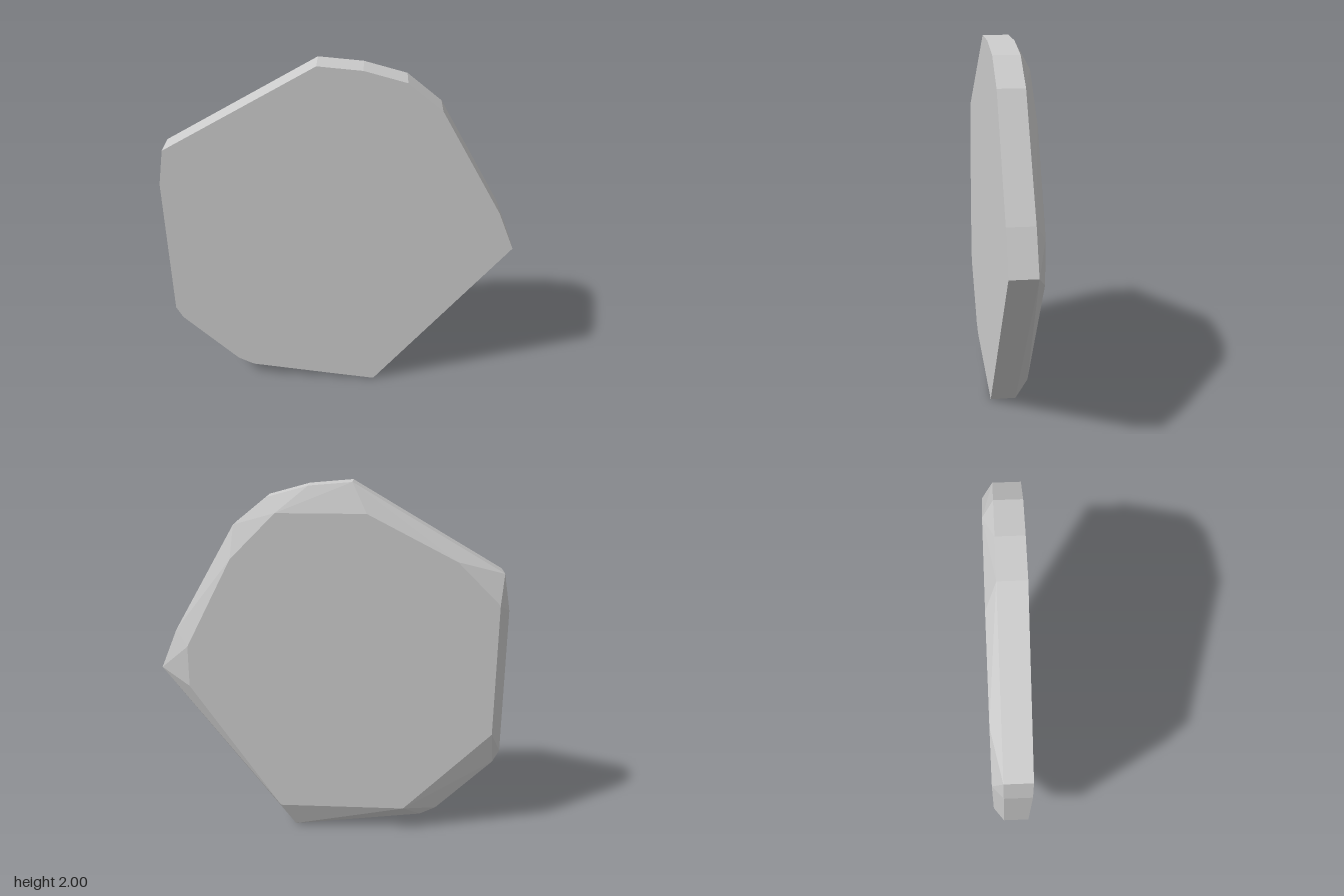
import * as THREE from 'three';
import { ConvexGeometry } from 'three/addons/geometries/ConvexGeometry.js';

// Outer rim of the slab, clockwise from the top
const RIM = [
  [-0.11, 2], [0.12, 1.98], [0.34, 1.92], [0.52, 1.775], [0.86, 1.19],
  [0.952, 0.97], [0.21, 0], [0, 0.025], [-0.52, 0.09], [-0.61, 0.135],
  [-0.92, 0.44], [-0.955, 0.51], [-0.955, 1.33], [-0.92, 1.53],
];

// Smaller flat face at the back, inside the chamfer
const BACK = [
  [-0.187, 1.845], [0.29, 1.845], [0.535, 1.6], [0.79, 1.11], [0.79, 0.88],
  [0.29, 0.15], [-0.42, 0.15], [-0.9, 0.63], [-0.9, 1.37], [-0.666, 1.6],
];

const FRONT_Z = 0.098, CHAMFER_Z = -0.043, BACK_Z = -0.098;

const ring = (outline, z) => outline.map(([x, y]) => new THREE.Vector3(x, y, z));

export function createModel() {
  const group = new THREE.Group();
  group.name = 'stoneSlab';

  // Flat front, straight rim and irregular faceted chamfer towards the back
  const slab = new THREE.Mesh(
    new ConvexGeometry([
      ...ring(RIM, FRONT_Z),
      ...ring(RIM, CHAMFER_Z),
      ...ring(BACK, BACK_Z),
    ]),
    new THREE.MeshStandardMaterial({ color: 0xcccccc, flatShading: true }),
  );
  slab.name = 'slab';
  group.add(slab);
  return group;
}
